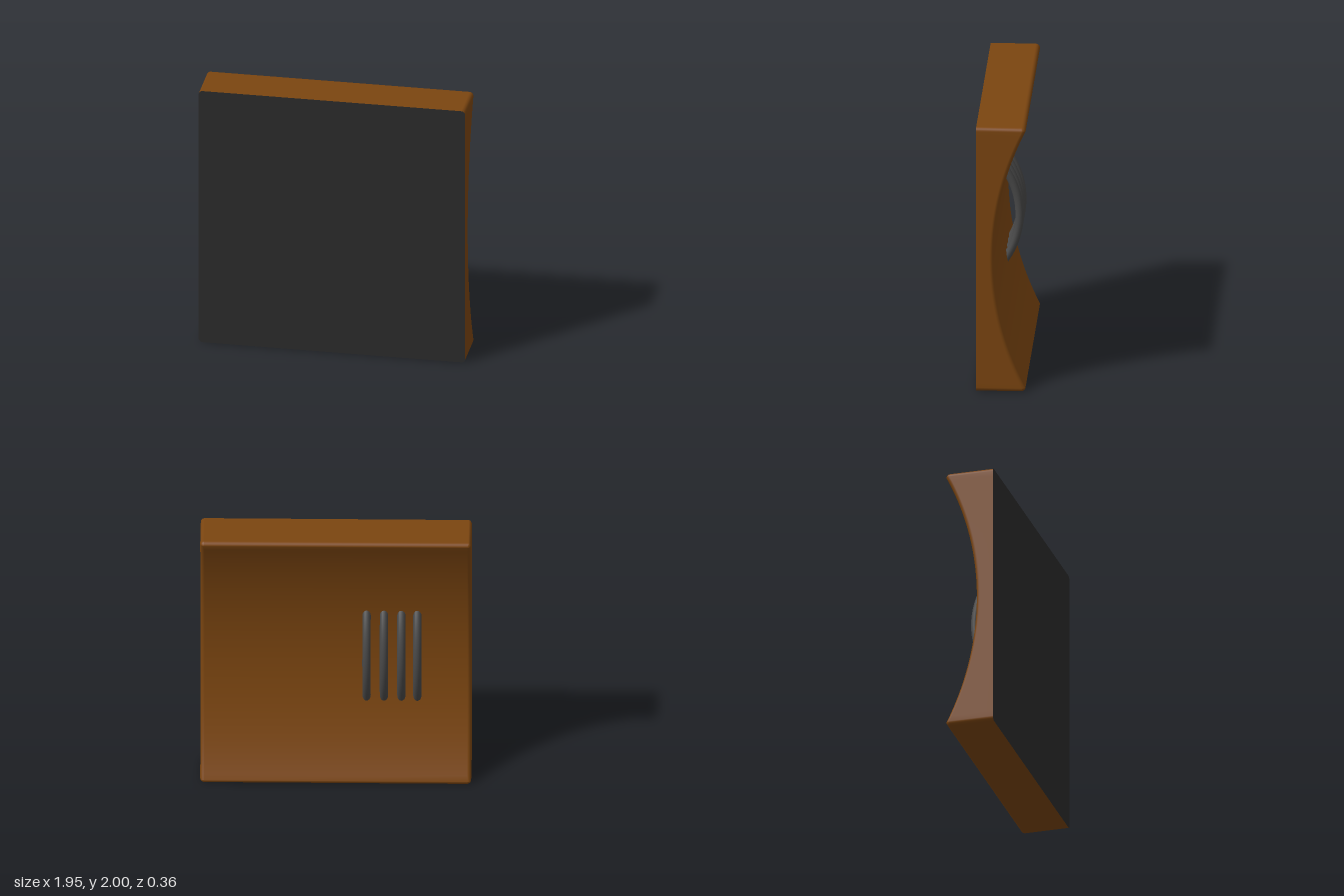
import * as THREE from 'three';
import { mergeVertices } from 'three/addons/utils/BufferGeometryUtils.js';

const HALF_W = 0.975, HALF_H = 1, EDGE = 0.03; // block half sizes, edge rounding
const FRONT_Z = 0.178, HOLLOW_Z = 0.05, HOLLOW_R = 2.18;
const SIDE_STEPS = 48, ARC_STEPS = 5;

const mat = (color, side = THREE.FrontSide) => new THREE.MeshStandardMaterial({ color, side });

// Depth of the concave back at a height measured from the middle
const hollow = (y) => HOLLOW_Z - (HOLLOW_R - Math.sqrt(HOLLOW_R * HOLLOW_R - y * y));

// Outline of the block: inner core point plus outward angle, counter-clockwise
function outline() {
  const cx = HALF_W - EDGE, cy = HALF_H - EDGE, pts = [];
  const corner = (x, y, start) => {
    for (let i = 1; i <= ARC_STEPS; i++) pts.push({ x, y, a: start + (i / ARC_STEPS) * Math.PI / 2 });
  };
  for (let i = 0; i <= SIDE_STEPS; i++) pts.push({ x: cx, y: cy * (2 * i / SIDE_STEPS - 1), a: 0 });
  corner(cx, cy, 0);
  corner(-cx, cy, Math.PI / 2);
  for (let i = 1; i <= SIDE_STEPS; i++) pts.push({ x: -cx, y: cy * (1 - 2 * i / SIDE_STEPS), a: Math.PI });
  corner(-cx, -cy, Math.PI);
  corner(cx, -cy, Math.PI * 1.5);
  return pts;
}

// Walls, rounded back edge and concave back
function bodyGeometry(pts) {
  const n = pts.length, pos = [], idx = [];
  const ring = (r, depth) => pts.forEach((p) =>
    pos.push(p.x + r * Math.cos(p.a), p.y + r * Math.sin(p.a) + HALF_H, depth(p.y)));
  ring(EDGE, () => FRONT_Z);
  for (let k = 0; k <= ARC_STEPS; k++) {
    const t = (k / ARC_STEPS) * Math.PI / 2;
    ring(EDGE * Math.cos(t), (y) => hollow(y) + EDGE * (1 - Math.sin(t)));
  }
  const rings = ARC_STEPS + 2;
  for (let i = 0; i < rings - 1; i++) {
    for (let j = 0; j < n; j++) {
      const f = i * n + j, f2 = i * n + (j + 1) % n, b = f + n, b2 = f2 + n;
      idx.push(f, b, f2, f2, b, b2);
    }
  }
  // Strips across the back, joining the right and left sides of the last ring
  const base = (rings - 1) * n, leftBottom = SIDE_STEPS * 2 + ARC_STEPS * 2;
  for (let i = 0; i < SIDE_STEPS; i++) {
    const r = base + i, l = base + leftBottom - i;
    idx.push(r, l, l - 1, r, l - 1, r + 1);
  }
  let g = new THREE.BufferGeometry();
  g.setAttribute('position', new THREE.Float32BufferAttribute(pos, 3));
  g.setIndex(idx);
  g = mergeVertices(g, 1e-5);
  g.computeVertexNormals();
  return g;
}

export function createModel() {
  const model = new THREE.Group();
  model.name = 'curvedBlock';
  const add = (name, geometry, material, parent = model) => {
    const mesh = new THREE.Mesh(geometry, material);
    mesh.name = name;
    parent.add(mesh);
    return mesh;
  };

  const pts = outline();
  add('woodenBody', bodyGeometry(pts), mat(0x7b4510));

  // Dark flat front face
  const face = new THREE.Shape(pts.map((p) =>
    new THREE.Vector2(p.x + EDGE * Math.cos(p.a), p.y + EDGE * Math.sin(p.a) + HALF_H)));
  add('frontPanel', new THREE.ShapeGeometry(face), mat(0x2b2b2b)).position.z = FRONT_Z;

  // Four bowed bars set into the hollow back
  const bars = new THREE.Group();
  bars.name = 'bars';
  model.add(bars);
  const halfArc = 0.69;
  const barGeometry = new THREE.TorusGeometry(0.61, 0.03, 16, 40, halfArc * 2)
    .rotateZ(-halfArc)
    .rotateY(Math.PI / 2);
  const barMat = mat(0x484848);
  [-0.22, -0.345, -0.47, -0.585].forEach((x, i) =>
    add(`bar${i + 1}`, barGeometry, barMat, bars).position.set(x, 0.95, 0.54));

  return model;
}
